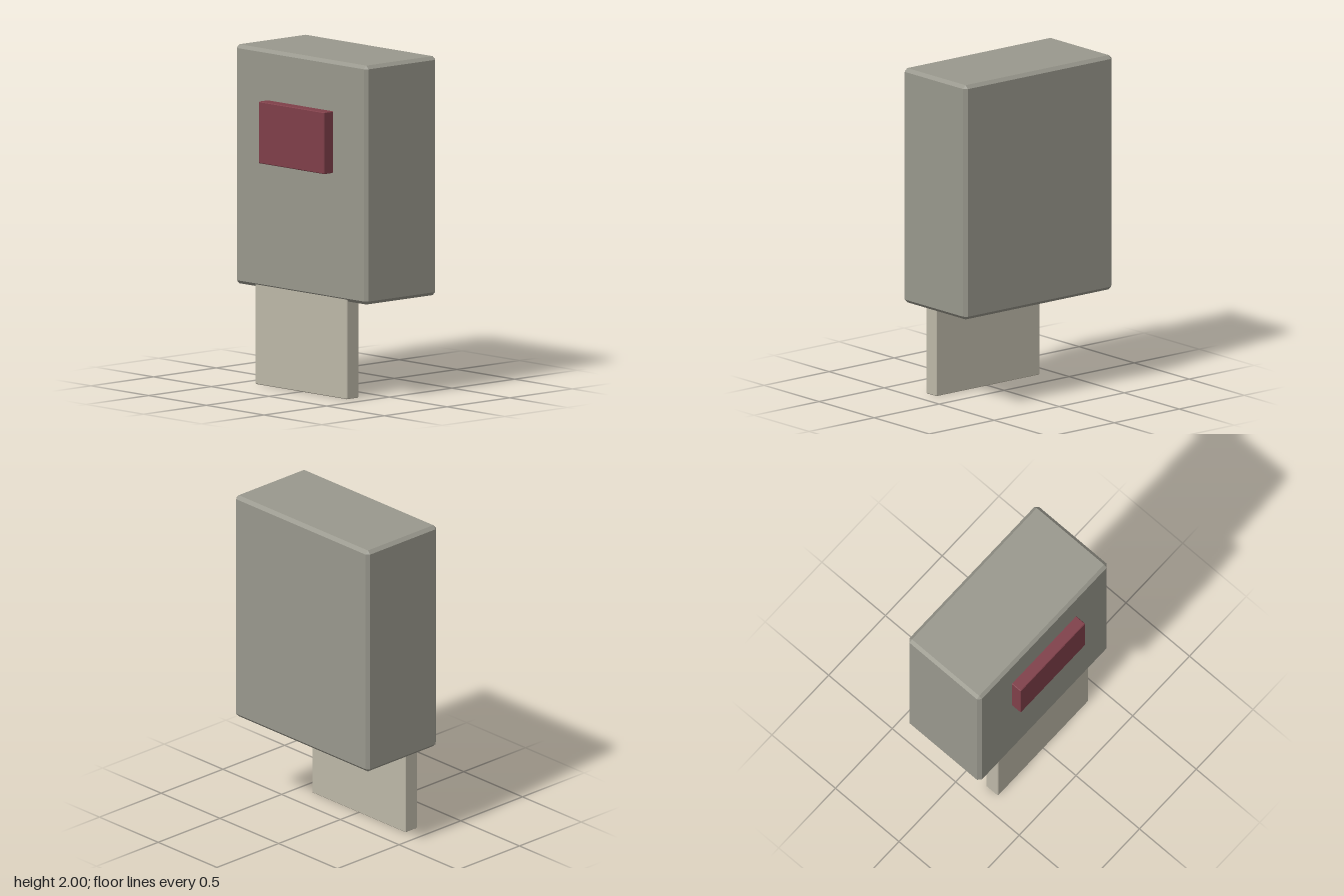
import * as THREE from 'three';
import { ConvexGeometry } from 'three/addons/geometries/ConvexGeometry.js';

// Box between two corners, with every edge cut by a flat chamfer c
function chamferBox(name, min, max, c, material) {
  const half = max.map((v, i) => (v - min[i]) / 2);
  const points = [];
  for (const sx of [-1, 1]) for (const sy of [-1, 1]) for (const sz of [-1, 1]) {
    for (let axis = 0; axis < 3; axis++) {
      const p = [sx, sy, sz].map((s, i) => s * (half[i] - (i === axis ? 0 : c)));
      points.push(new THREE.Vector3(...p));
    }
  }
  const mesh = new THREE.Mesh(new ConvexGeometry(points), material);
  mesh.name = name;
  mesh.position.set(...max.map((v, i) => (v + min[i]) / 2));
  return mesh;
}

function paint(name, color) {
  const material = new THREE.MeshStandardMaterial({ color });
  material.name = name;
  return material;
}

export function createModel() {
  const grey = paint('warm grey', 0x99988d);
  const beige = paint('pale beige', 0xbdb8a8);
  const red = paint('dark red', 0x7f3f49);

  const model = new THREE.Group();
  model.name = 'switchBox';
  model.add(
    // Main housing
    chamferBox('housing', [-0.57, 0.58, -0.32], [0.57, 2, 0.25], 0.02, grey),
    // Flat tongue below, running slightly into the housing
    chamferBox('tongue', [-0.4, 0, 0.148], [0.396, 0.62, 0.243], 0.004, beige),
    // Raised plate on the front
    chamferBox('frontPlate', [-0.285, 1.333, 0.24], [0.283, 1.7, 0.32], 0.004, red),
  );
  return model;
}
